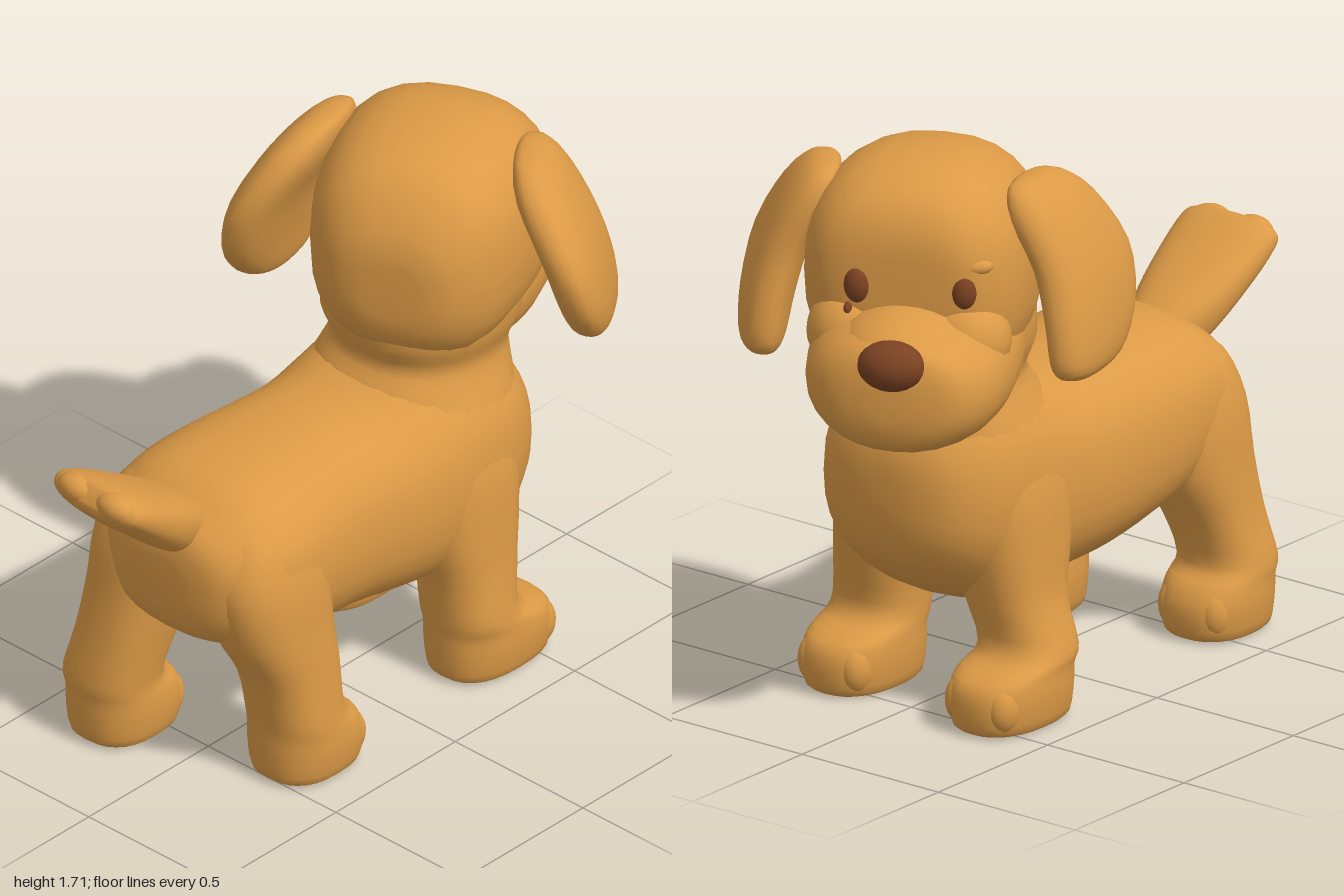
import * as THREE from 'three';

const fur = new THREE.MeshStandardMaterial({ color: 0xdc9a46 });
fur.name = 'tanFur';
const brown = new THREE.MeshStandardMaterial({ color: 0x7c4223 });
brown.name = 'darkBrown';

// Smooth interpolation between four values
function spline(a, b, c, d, t) {
  const u = (c - a) / 2, v = (d - b) / 2;
  return b + t * (u + t * (3 * (c - b) - 2 * u - v + t * (2 * (b - c) + u + v)));
}

// Closed skin over rings [y, centreX, centreZ, radiusX, radiusZ], listed bottom to top;
// shear leans x with z
function loft(rings, { power = 2.4, shear = 0, sides = 28, steps = 3 } = {}) {
  const fine = [];
  const last = rings.length - 1;
  for (let i = 0; i < last; i++) {
    for (let s = 0; s < steps; s++) {
      const q = [Math.max(i - 1, 0), i, i + 1, Math.min(i + 2, last)].map((k) => rings[k]);
      fine.push(rings[0].map((_, k) => spline(q[0][k], q[1][k], q[2][k], q[3][k], s / steps)));
    }
  }
  fine.push(rings[last]);

  const pos = [], index = [];
  const round = (c) => Math.sign(c) * Math.abs(c) ** (2 / power);
  for (const [y, cx, cz, rx, rz] of fine) {
    for (let j = 0; j < sides; j++) {
      const a = (j / sides) * Math.PI * 2;
      const z = rz * round(Math.sin(a));
      pos.push(cx + rx * round(Math.cos(a)) + shear * z, y, cz + z);
    }
  }
  const top = fine.length - 1;
  const low = pos.length / 3, high = low + 1;
  for (const r of [fine[0], fine[top]]) pos.push(r[1], r[0], r[2]);
  for (let j = 0; j < sides; j++) {
    const k = (j + 1) % sides;
    for (let i = 0; i < top; i++) {
      const a = i * sides + j, b = i * sides + k;
      index.push(a, a + sides, b, b, a + sides, b + sides);
    }
    index.push(low, j, k, high, top * sides + k, top * sides + j);
  }
  const g = new THREE.BufferGeometry();
  g.setAttribute('position', new THREE.Float32BufferAttribute(pos, 3));
  g.setIndex(index);
  g.computeVertexNormals();
  return g;
}

// Loft running toward -z: rings are [forward, centreX, centreY, radiusX, radiusY]
const loftForward = (rings, options) => loft(rings, options).rotateX(-Math.PI / 2);

function add(parent, name, geometry, material = fur) {
  const mesh = new THREE.Mesh(geometry, material);
  mesh.name = name;
  parent.add(mesh);
  return mesh;
}

function ball(parent, name, position, radii, material = fur) {
  const mesh = add(parent, name, new THREE.SphereGeometry(1, 20, 14), material);
  mesh.position.set(...position);
  mesh.scale.set(...radii);
  return mesh;
}

// Leg with a paw pointing to -z; ankle and hip are z positions
function leg(parent, name, side, ankle, hip, toe, spread) {
  const group = new THREE.Group();
  group.name = name;
  const paw = ankle + (0.13 - toe) / 2, half = (0.13 + toe) / 2;
  const x = side * spread;
  add(group, 'limb', loft([
    [0.005, x, paw, 0.1, half - 0.05],
    [0.02, x, paw, 0.132, half - 0.01],
    [0.1, x, paw, 0.145, half],
    [0.165, x, paw + 0.015, 0.144, half - 0.015],
    [0.22, x, ankle + 0.005, 0.141, 0.13],
    [0.36, side * 0.24, ankle * 0.75 + hip * 0.25, 0.138, 0.143],
    [0.52, side * 0.22, ankle * 0.25 + hip * 0.75, 0.147, 0.18],
    [0.7, side * 0.2, hip, 0.152, 0.195],
    [0.84, side * 0.18, hip, 0.12, 0.14],
    [0.9, side * 0.16, hip, 0.05, 0.06],
  ]));
  for (const t of [-1, 0, 1]) {
    ball(group, 'toe', [x + t * 0.075, 0.09, ankle - toe + 0.062 + Math.abs(t) * 0.015], [0.05, 0.075, 0.06]);
  }
  parent.add(group);
}

export function createModel() {
  const model = new THREE.Group();
  model.name = 'puppy';

  // Trunk from rump to chest
  add(model, 'body', loftForward([
    [-0.71, 0, 0.68, 0.1, 0.08],
    [-0.69, 0, 0.685, 0.21, 0.16],
    [-0.62, 0, 0.685, 0.3, 0.215],
    [-0.5, 0, 0.695, 0.345, 0.26],
    [-0.3, -0.015, 0.67, 0.342, 0.295],
    [-0.1, -0.025, 0.645, 0.325, 0.31],
    [0.05, -0.01, 0.64, 0.335, 0.32],
    [0.18, 0, 0.655, 0.345, 0.345],
    [0.36, 0, 0.68, 0.345, 0.365],
    [0.5, 0, 0.69, 0.31, 0.31],
    [0.6, 0, 0.69, 0.235, 0.22],
    [0.645, 0, 0.69, 0.13, 0.13],
    [0.655, 0, 0.69, 0.03, 0.03],
  ]));
  add(model, 'neck', loft([
    [0.7, 0, -0.33, 0.33, 0.27],
    [0.85, 0, -0.335, 0.315, 0.285],
    [0.96, 0, -0.36, 0.27, 0.265],
    [1.03, 0, -0.385, 0.255, 0.245],
    [1.12, 0, -0.395, 0.285, 0.285],
    [1.25, 0, -0.41, 0.29, 0.295],
  ], { power: 2.2 }));

  // Legs, with the rear pair in mid stride
  leg(model, 'frontLegLeft', 1, -0.325, -0.31, 0.275, 0.255);
  leg(model, 'frontLegRight', -1, -0.325, -0.31, 0.275, 0.285);
  leg(model, 'rearLegLeft', 1, 0.4, 0.485, 0.21, 0.25);
  leg(model, 'rearLegRight', -1, 0.61, 0.495, 0.21, 0.265);

  // Flat, widening tail with a lobed tip
  const tail = new THREE.Group();
  tail.name = 'tail';
  add(tail, 'tailBlade', loft([
    [-0.08, 0, 0, 0.08, 0.08],
    [0, 0, 0, 0.105, 0.09],
    [0.12, 0, 0, 0.14, 0.088],
    [0.25, 0, 0, 0.16, 0.078],
    [0.37, 0, 0, 0.17, 0.065],
    [0.43, 0, 0, 0.16, 0.05],
    [0.45, 0, 0, 0.11, 0.025],
  ]));
  for (const t of [-1, 1]) ball(tail, 'tailTuft', [t * 0.075, 0.4, 0], [0.08, 0.07, 0.05]);
  tail.position.set(-0.02, 0.82, 0.6);
  tail.rotation.x = 0.95;
  model.add(tail);

  // Head, turned to one side
  const head = new THREE.Group();
  head.name = 'head';
  head.position.z = -0.42;
  head.rotation.y = 0.43;
  model.add(head);
  add(head, 'skull', loftForward([
    [-0.345, 0, 1.33, 0.09, 0.09],
    [-0.32, 0, 1.335, 0.185, 0.19],
    [-0.22, 0, 1.355, 0.28, 0.3],
    [-0.05, 0, 1.37, 0.325, 0.335],
    [0.12, 0, 1.37, 0.33, 0.34],
    [0.24, 0, 1.37, 0.305, 0.305],
    [0.315, 0, 1.38, 0.25, 0.235],
    [0.35, -0.01, 1.39, 0.17, 0.14],
    [0.355, -0.01, 1.39, 0.05, 0.05],
  ], { power: 2.5 }));
  add(head, 'muzzle', loftForward([
    [-0.2, 0, 1.2, 0.22, 0.16],
    [-0.05, 0, 1.17, 0.28, 0.2],
    [0.15, -0.01, 1.135, 0.303, 0.21],
    [0.35, -0.02, 1.12, 0.295, 0.198],
    [0.48, -0.025, 1.115, 0.255, 0.178],
    [0.56, -0.03, 1.12, 0.18, 0.145],
    [0.585, -0.03, 1.12, 0.06, 0.06],
  ], { power: 2.2 }));
  // Slope between the eyes and the nose
  ball(head, 'muzzleBridge', [-0.02, 1.21, -0.34], [0.2, 0.125, 0.235]);
  ball(head, 'nose', [-0.03, 1.225, -0.56], [0.1, 0.075, 0.07], brown);

  // Eyes, brows, cheeks and hanging ears on both sides
  for (const [label, side, eyeX, eyeZ, earX] of [
    ['Left', 1, 0.125, -0.342, 0], ['Right', -1, -0.185, -0.33, 0.02],
  ]) {
    ball(head, 'eye' + label, [eyeX, 1.383, eyeZ], [0.04, 0.055, 0.032], brown);
    ball(head, 'brow' + label, [eyeX, 1.455, eyeZ + 0.035], [0.08, 0.035, 0.045]);
    ball(head, 'cheek' + label, [side * 0.17 - 0.01, 1.22, -0.27], [0.13, 0.13, 0.13]);
    add(head, 'ear' + label, loft([
      [1.08, side * 0.46, -0.1, 0.02, 0.05],
      [1.095, side * 0.465, -0.095, 0.05, 0.12],
      [1.14, side * 0.47, -0.075, 0.072, 0.175],
      [1.25, side * 0.465, -0.03, 0.083, 0.213],
      [1.4, side * 0.43, 0, 0.088, 0.215],
      [1.55, side * 0.35, -0.015, 0.085, 0.185],
      [1.63, side * 0.305, -0.035, 0.055, 0.125],
      [1.65, side * 0.29, -0.04, 0.02, 0.05],
    ], { shear: side * 0.2 })).position.x = side * earX;
  }
  // Small mark under one eye
  ball(head, 'eyeMark', [0.15, 1.312, -0.352], [0.013, 0.02, 0.02], brown);
  return model;
}
